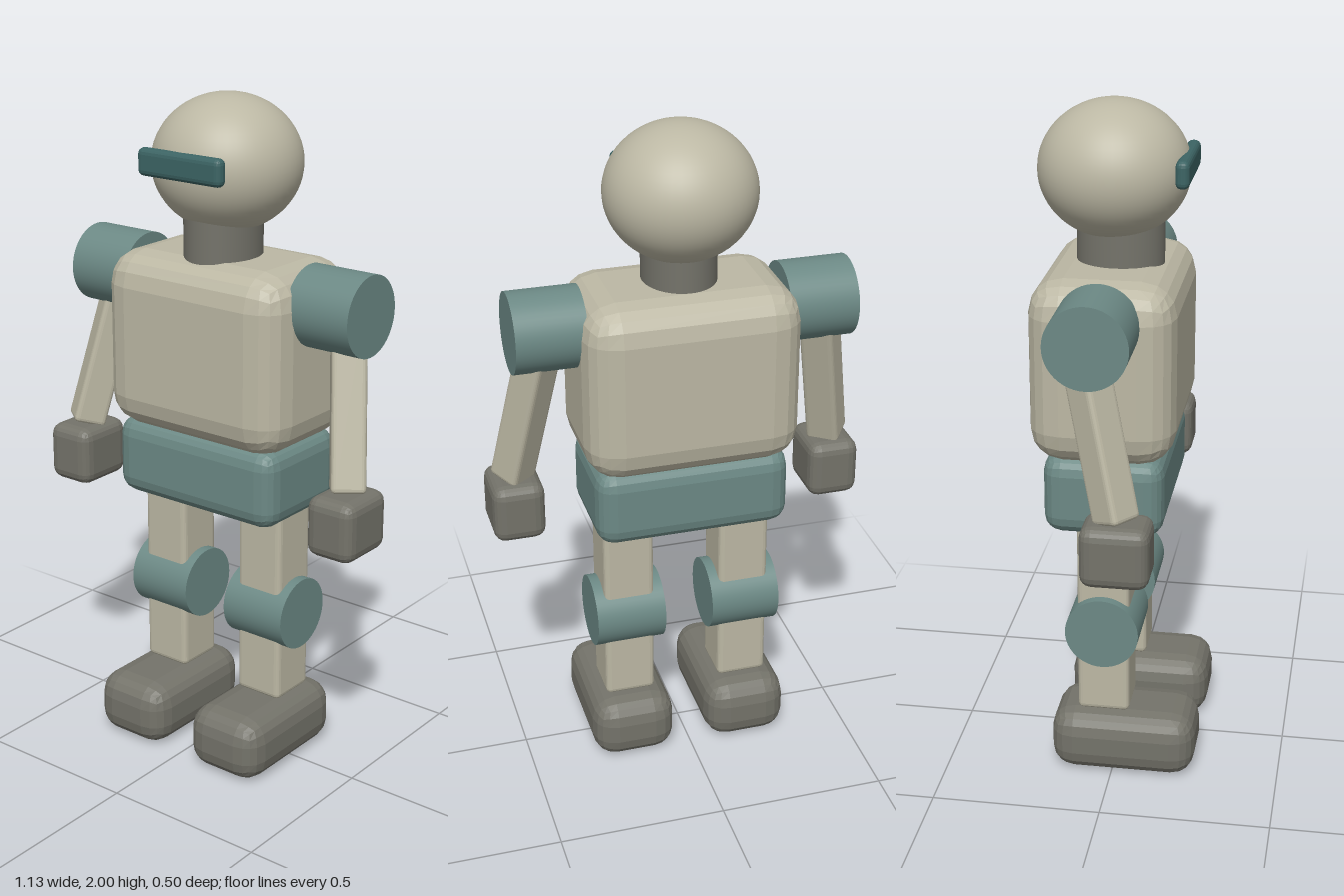
import * as THREE from 'three';
import { RoundedBoxGeometry } from 'three/addons/geometries/RoundedBoxGeometry.js';

const paint = (name, color) => {
  const m = new THREE.MeshStandardMaterial({ color });
  m.name = name;
  return m;
};

export function createModel() {
  const robot = new THREE.Group();
  robot.name = 'robot';
  const shell = paint('warm beige', 0xbcb8a4);
  const joint = paint('grey teal', 0x6c8985);
  const dark = paint('warm grey', 0x74736a);
  const glass = paint('dark teal', 0x3c6464);

  const add = (parent, name, geometry, material, x, y, z) => {
    const mesh = new THREE.Mesh(geometry, material);
    mesh.name = name;
    mesh.position.set(x, y, z);
    parent.add(mesh);
    return mesh;
  };

  // Bevelled box with faceted edges
  const block = (w, h, d, r) => {
    const g = new RoundedBoxGeometry(w, h, d, 2, r);
    g.computeVertexNormals();
    return g;
  };

  // Cylinder lying along x
  const drum = (r, length) => new THREE.CylinderGeometry(r, r, length, 48).rotateZ(Math.PI / 2);

  // Head, visor and neck
  const head = add(robot, 'head', new THREE.SphereGeometry(0.218, 48, 32), shell, 0, 1.803, -0.03);
  head.scale.y = 0.197 / 0.218;
  add(robot, 'visor', block(0.294, 0.08, 0.04, 0.018), glass, 0, 1.82, 0.178);
  const neck = add(robot, 'neck', new THREE.CylinderGeometry(0.108, 0.108, 0.16, 48), dark, 0, 1.59, -0.012);
  neck.scale.z = 1.17;

  // Body
  add(robot, 'torso', block(0.636, 0.535, 0.42, 0.1), shell, 0, 1.273, -0.03);
  add(robot, 'pelvis', block(0.58, 0.24, 0.35, 0.055), joint, 0, 0.905, -0.025);

  for (const [side, s] of [['left', 1], ['right', -1]]) {
    // Arm, its long axis aimed from shoulder to hand
    const arm = new THREE.Group();
    arm.name = side + 'Arm';
    robot.add(arm);
    add(arm, side + 'Shoulder', drum(0.118, 0.205), joint, s * 0.3975, 1.435, -0.03);
    const from = new THREE.Vector3(s * 0.41, 1.42, -0.055);
    const to = new THREE.Vector3(s * 0.492, 0.94, 0.052);
    const mid = from.clone().lerp(to, 0.5);
    const limb = add(arm, side + 'ArmLimb', block(0.1, 0.1, from.distanceTo(to), 0.014), shell, mid.x, mid.y, mid.z);
    limb.lookAt(to);
    add(arm, side + 'Hand', block(0.156, 0.18, 0.196, 0.035), dark, s * 0.489, 0.85, 0.052);

    // Leg
    const leg = new THREE.Group();
    leg.name = side + 'Leg';
    robot.add(leg);
    add(leg, side + 'Thigh', block(0.154, 0.4, 0.155, 0.016), shell, s * 0.18, 0.68, -0.027);
    add(leg, side + 'Knee', drum(0.109, 0.212), joint, s * 0.18, 0.473, -0.027);
    add(leg, side + 'Shin', block(0.154, 0.29, 0.155, 0.016), shell, s * 0.18, 0.345, -0.027);
    add(leg, side + 'Foot', block(0.256, 0.198, 0.434, 0.07), dark, s * 0.18, 0.099, 0.032);
  }
  return robot;
}
